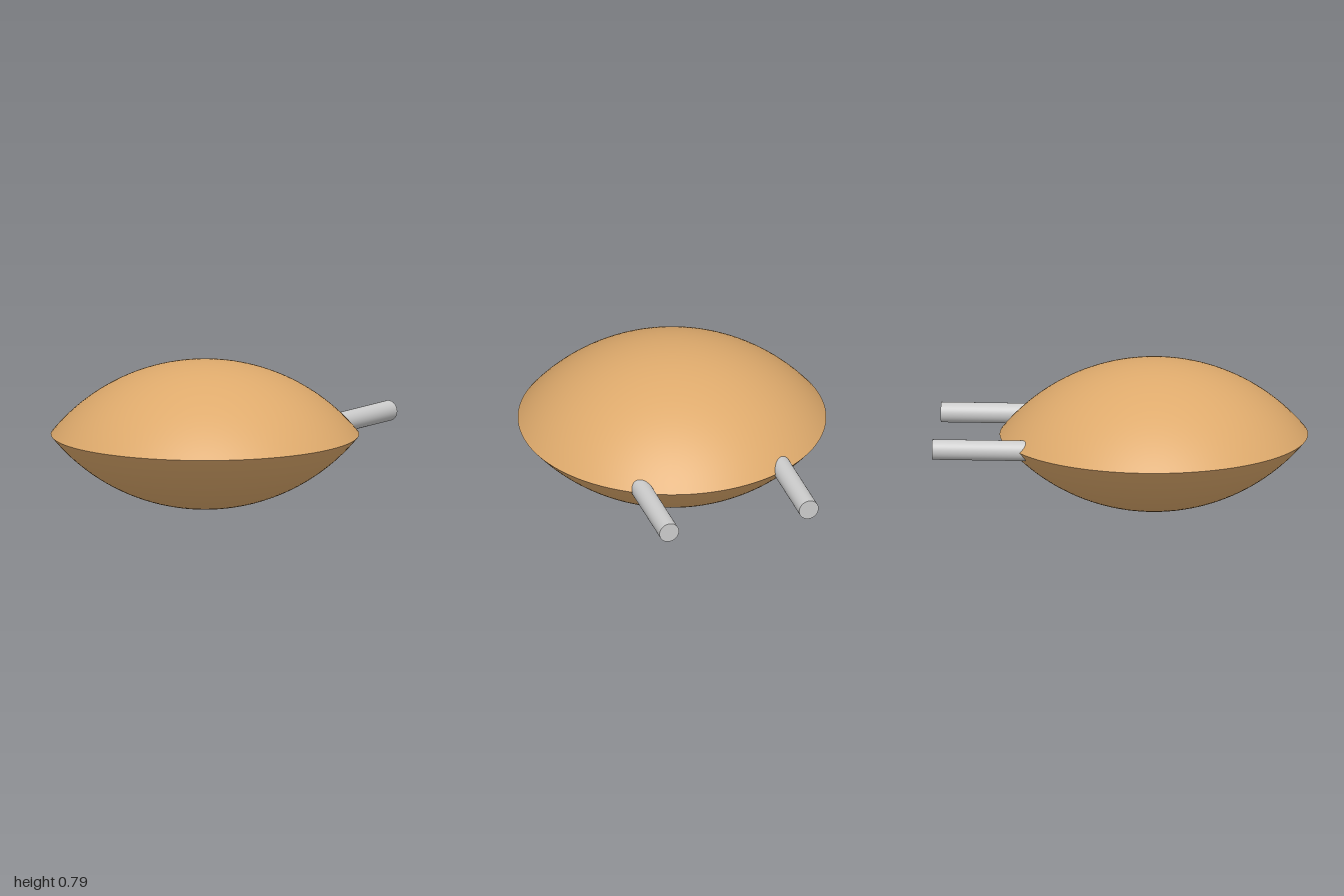
import * as THREE from 'three';

const RIM = 0.83, DOME = 0.397, MID_Y = 0.398, BODY_Z = 0.17;

// Spherical cap: its arc runs from the rim up to the pole (side 1) or from the pole up to the rim (side -1)
function capGeometry(side) {
  const R = (RIM * RIM + DOME * DOME) / (2 * DOME);
  const a = Math.asin(RIM / R);
  const points = [];
  for (let i = 0; i <= 28; i++) {
    const t = a * (1 - i / 28);
    points.push(new THREE.Vector2(i === 28 ? 0 : R * Math.sin(t), side * (R * Math.cos(t) - R + DOME)));
  }
  if (side < 0) points.reverse();
  return new THREE.LatheGeometry(points, 96);
}

export function createModel() {
  const model = new THREE.Group();
  model.name = 'lensBodyWithRods';
  const tan = new THREE.MeshStandardMaterial({ color: 0xdeaa6c });
  const grey = new THREE.MeshStandardMaterial({ color: 0xcccccc });

  // Lens-shaped body: two caps meeting at a sharp rim
  for (const side of [1, -1]) {
    const cap = new THREE.Mesh(capGeometry(side), tan);
    cap.name = side > 0 ? 'upperShell' : 'lowerShell';
    cap.position.set(0, MID_Y, BODY_Z);
    model.add(cap);
  }

  // Pair of round rods running out of the back
  const length = 0.6;
  const rodGeometry = new THREE.CylinderGeometry(0.055, 0.055, length, 40).rotateX(Math.PI / 2);
  for (const side of [1, -1]) {
    const rod = new THREE.Mesh(rodGeometry, grey);
    rod.name = side > 0 ? 'leftRod' : 'rightRod';
    rod.position.set(side * 0.395, MID_Y, -1 + length / 2);
    model.add(rod);
  }
  return model;
}
